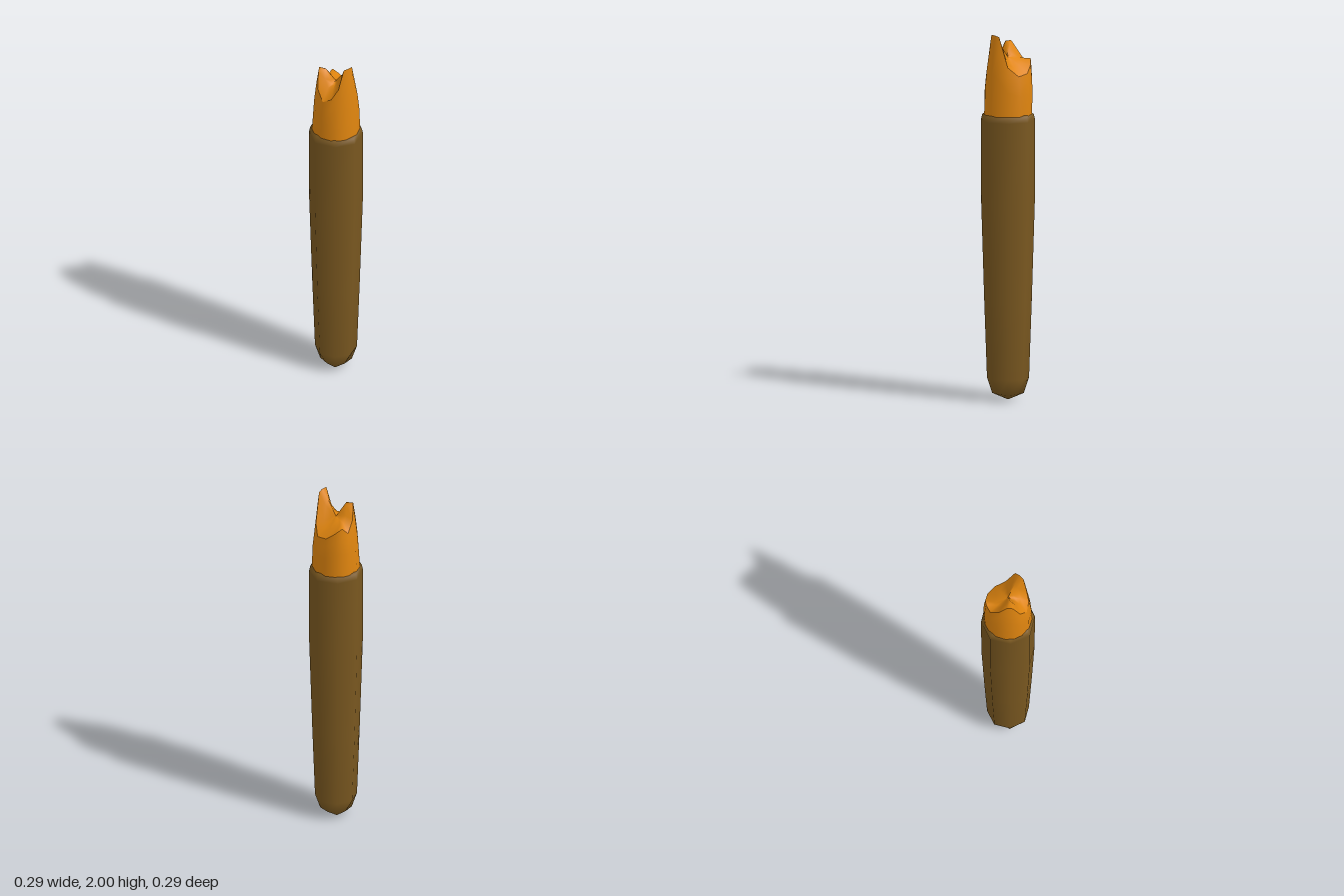
import * as THREE from 'three';

// Skin a list of closed rings (each a list of [x, y, z]) running up the outside
function loft(rings, color, name) {
  const n = rings[0].length, index = [];
  for (let i = 0; i < rings.length - 1; i++) {
    for (let j = 0; j < n; j++) {
      const k = (j + 1) % n;
      const a = i * n + j, b = i * n + k, c = a + n, d = b + n;
      index.push(a, c, b, b, c, d);
    }
  }
  const geo = new THREE.BufferGeometry();
  geo.setAttribute('position', new THREE.Float32BufferAttribute(rings.flat(2), 3));
  geo.setIndex(index);
  geo.computeVertexNormals();
  const mesh = new THREE.Mesh(geo, new THREE.MeshStandardMaterial({ color, side: THREE.DoubleSide }));
  mesh.name = name;
  return mesh;
}

const polar = (deg, r, y) => {
  const a = THREE.MathUtils.degToRad(deg);
  return [r * Math.cos(a), y, r * Math.sin(a)];
};

export function createModel() {
  const group = new THREE.Group();
  group.name = 'brokenStick';

  // Eight-sided bark sleeve: [radius, height, radius factor at the diagonals]
  const barkProfile = [
    [0.001, 0, 1], [0.085, 0.035, 0.8], [0.113, 0.12, 1.03], [0.128, 0.55, 1.05],
    [0.144, 1.08, 1.05], [0.145, 1.53, 1.05], [0.138, 1.56, 1.04], [0.118, 1.568, 1.04],
  ];
  const barkRings = barkProfile.map(([r, y, f]) =>
    Array.from({ length: 8 }, (_, j) => polar(j * 45, j % 2 ? r * f : r, y)));
  group.add(loft(barkRings, 0x7a5820, 'bark'));

  // Splintered rim of the core: [angle, radius, rim height, height further in]
  const rim = [
    [0, 0.108, 1.83, 1.84], [28, 0.1, 1.995, 1.92], [45, 0.1, 2, 1.95], [62, 0.1, 2, 1.92],
    [80, 0.105, 1.88, 1.88], [100, 0.112, 1.82, 1.86], [125, 0.115, 1.79, 1.86], [150, 0.11, 1.85, 1.9],
    [170, 0.095, 1.94, 1.95], [190, 0.092, 1.945, 1.94], [215, 0.105, 1.88, 1.89], [240, 0.118, 1.82, 1.86],
    [258, 0.124, 1.86, 1.85], [275, 0.122, 1.83, 1.84], [300, 0.12, 1.79, 1.83], [330, 0.118, 1.78, 1.82],
  ];
  const top = rim.map(([a, r, y]) => polar(a, r, y));
  const sideRing = (t, bulge) => rim.map(([a, r, y]) => polar(a,
    THREE.MathUtils.lerp(0.13, r, t) + bulge, THREE.MathUtils.lerp(1.56, y, t)));
  const coreRings = [
    rim.map(([a]) => polar(a, 0.13, 1.45)),
    sideRing(0, 0), sideRing(0.5, 0.006), sideRing(0.8, 0.004), top,
  ];
  group.add(loft(coreRings, 0xe0850f, 'coreSide'));

  // Uneven broken face closing the core
  const faceRings = [
    top,
    rim.map(([a, r, , y]) => polar(a, r * 0.6, y)),
    rim.map(([a, r, , y]) => polar(a, r * 0.3, (y + 1.87) / 2)),
    rim.map(([a]) => polar(a, 0.0005, 1.87)),
  ];
  group.add(loft(faceRings, 0xe0850f, 'brokenFace'));

  return group;
}
